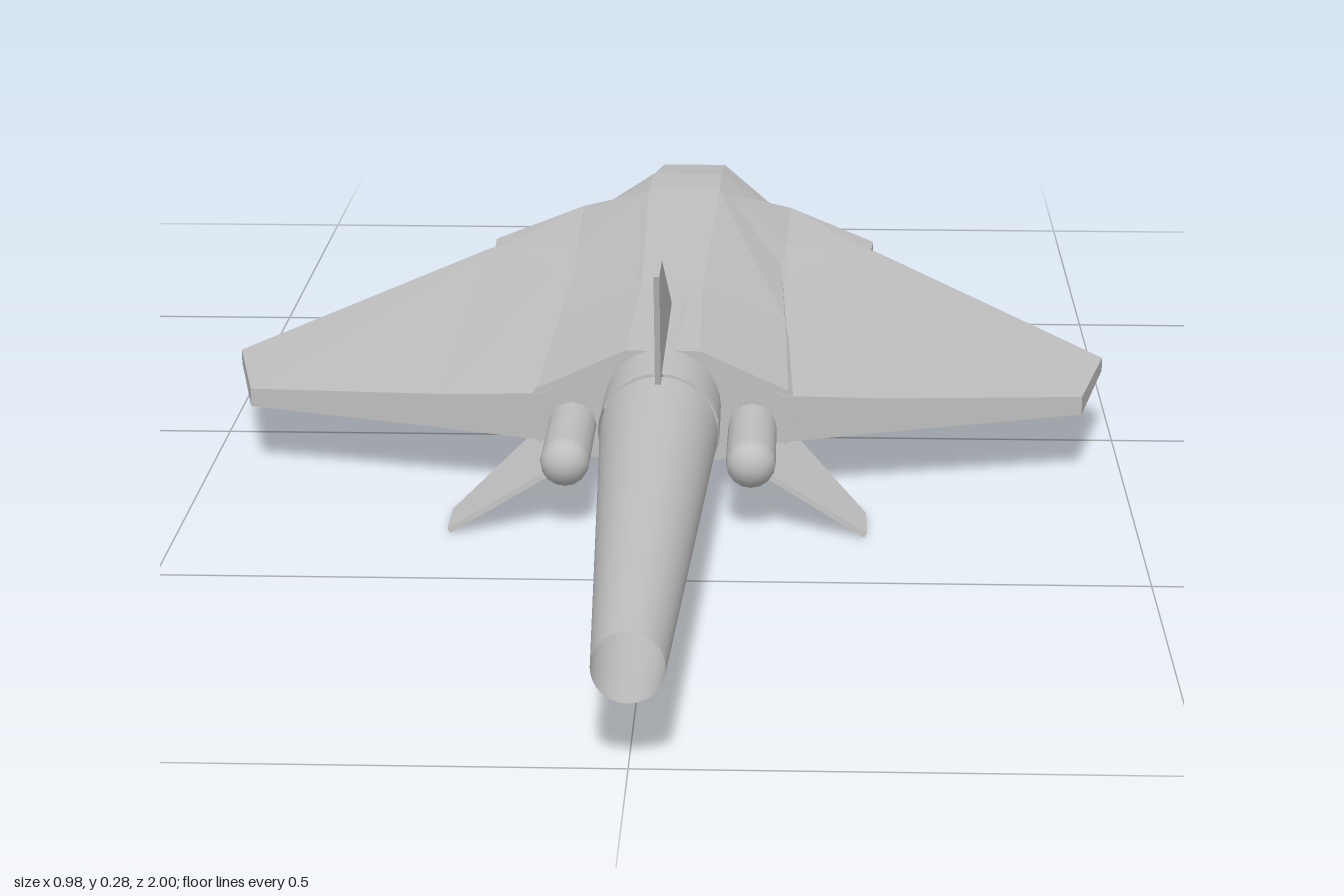
import * as THREE from 'three';

const grey = new THREE.MeshStandardMaterial({ color: 0xbfbfbf, flatShading: true });
const smoothGrey = grey.clone();
smoothGrey.flatShading = false;
smoothGrey.side = THREE.DoubleSide;
grey.name = 'airframe grey';
smoothGrey.name = 'airframe grey smooth';

// Skin a list of equal-length closed rings and cap both ends, facing outward.
function loft(name, rings) {
  const tris = [];
  const n = rings[0].length;
  for (let i = 0; i < rings.length - 1; i++) {
    for (let j = 0; j < n; j++) {
      const k = (j + 1) % n;
      const a = rings[i][j], b = rings[i][k], c = rings[i + 1][k], d = rings[i + 1][j];
      tris.push([a, b, c], [a, c, d]);
    }
  }
  const cap = (ring, flip) => {
    const mid = [0, 1, 2].map(q => ring.reduce((s, p) => s + p[q], 0) / n);
    ring.forEach((p, j) => {
      const next = ring[(j + 1) % n];
      tris.push(flip ? [mid, next, p] : [mid, p, next]);
    });
  };
  cap(rings[0], true);
  cap(rings[rings.length - 1], false);
  // A negative enclosed volume means the corners run the wrong way round.
  let volume = 0;
  const V = p => new THREE.Vector3(...p);
  for (const [a, b, c] of tris) volume += V(a).dot(V(b).cross(V(c)));
  if (volume < 0) tris.forEach(t => t.reverse());
  const geometry = new THREE.BufferGeometry();
  geometry.setAttribute('position', new THREE.Float32BufferAttribute(tris.flat(2), 3));
  geometry.computeVertexNormals();
  const mesh = new THREE.Mesh(geometry, grey);
  mesh.name = name;
  return mesh;
}

// Thin flat fin: outline points thickened along a direction.
function fin(name, outline, dir, t = 0.003) {
  const shift = s => outline.map(p => p.map((v, q) => v + dir[q] * s * t));
  return loft(name, [shift(-1), shift(1)]);
}

function zTube(name, rBack, rFront, z0, z1, y) {
  const geometry = new THREE.CylinderGeometry(rFront, rBack, z1 - z0, 32, 1, true);
  geometry.rotateX(Math.PI / 2);
  const mesh = new THREE.Mesh(geometry, smoothGrey);
  mesh.position.set(0, y, (z0 + z1) / 2);
  mesh.name = name;
  return mesh;
}

export function createModel() {
  const model = new THREE.Group();
  model.name = 'jet';

  // Fuselage: half sections from ridge to keel, mirrored
  const stations = [
    [-1, [[0.042, 0.092], [0.044, 0.086], [0.044, 0.06], [0.04, 0.055], [0.02, 0.054]]],
    [-0.69, [[0.043, 0.15], [0.12, 0.1], [0.12, 0.074], [0.09, 0.055], [0.03, 0.044]]],
    [-0.55, [[0.045, 0.161], [0.12, 0.115], [0.12, 0.06], [0.11, 0.042], [0.04, 0.037]]],
    [-0.1, [[0.035, 0.151], [0.13, 0.113], [0.14, 0.07], [0.13, 0.038], [0.04, 0.031]]],
    [0.2, [[0.04, 0.157], [0.135, 0.114], [0.148, 0.1], [0.12, 0.046], [0.03, 0.03]]],
  ];
  model.add(loft('fuselage', stations.map(([z, half]) => [
    ...half.map(([x, y]) => [x, y, z]),
    ...half.slice().reverse().map(([x, y]) => [-x, y, z]),
  ])));

  // Tapered tail boom, open at its end
  model.add(zTube('boomCollar', 0.06, 0.064, -0.05, 0.3, 0.096));
  model.add(zTube('tailBoom', 0.062, 0.033, 0.3, 1, 0.095));

  // Upright fin
  model.add(fin('uprightFin', [
    [0, 0.14, -0.03], [0, 0.158, 0], [0, 0.28, 0.29], [0, 0.28, 0.36], [0, 0.15, 0.325],
  ], [1, 0, 0]));

  for (const side of [1, -1]) {
    const label = side > 0 ? 'left' : 'right';
    const flip = ring => ring.map(([x, y, z]) => [x * side, y, z]);

    // Wing, with a thin squared edge
    model.add(loft(label + 'Wing', [
      [[0.03, 0.145, -0.5], [0.03, 0.145, 0.19], [0.03, 0.05, 0.19], [0.03, 0.05, -0.5]],
      [[0.13, 0.112, -0.5], [0.13, 0.109, 0.203], [0.13, 0.057, 0.203], [0.13, 0.057, -0.5]],
      [[0.24, 0.1, -0.48], [0.24, 0.1, 0.178], [0.24, 0.062, 0.178], [0.24, 0.066, -0.48]],
      [[0.49, 0.087, -0.04], [0.455, 0.09, 0.13], [0.455, 0.07, 0.13], [0.49, 0.072, -0.04]],
    ].map(flip)));

    // Swept intake with a box tapering back beneath the wing
    model.add(loft(label + 'Intake', [
      [[0.05, 0.157, -0.55], [0.135, 0.112, -0.66], [0.24, 0.092, -0.56],
        [0.24, 0.07, -0.56], [0.225, 0.043, -0.55], [0.13, 0.043, -0.62]],
      [[0.045, 0.155, -0.4], [0.13, 0.115, -0.45], [0.235, 0.1, -0.47],
        [0.235, 0.062, -0.47], [0.22, 0.043, -0.47], [0.12, 0.041, -0.45]],
      [[0.04, 0.14, 0.18], [0.1, 0.11, 0.2], [0.14, 0.1, 0.2],
        [0.145, 0.08, 0.2], [0.13, 0.046, 0.2], [0.08, 0.043, 0.2]],
    ].map(flip)));

    // Rounded engine pod
    const pod = new THREE.Mesh(new THREE.CapsuleGeometry(0.026, 0.2, 6, 16).rotateX(Math.PI / 2), smoothGrey);
    pod.position.set(side * 0.097, 0.073, 0.23);
    pod.name = label + 'EnginePod';
    model.add(pod);

    // Canted lower fin
    model.add(fin(label + 'LowerFin', flip([
      [0.11, 0.062, 0.08], [0.217, 0.004, 0.29], [0.217, 0.004, 0.357], [0.11, 0.062, 0.33],
    ]), [side * 0.48, 0.88, 0]));
  }
  return model;
}
